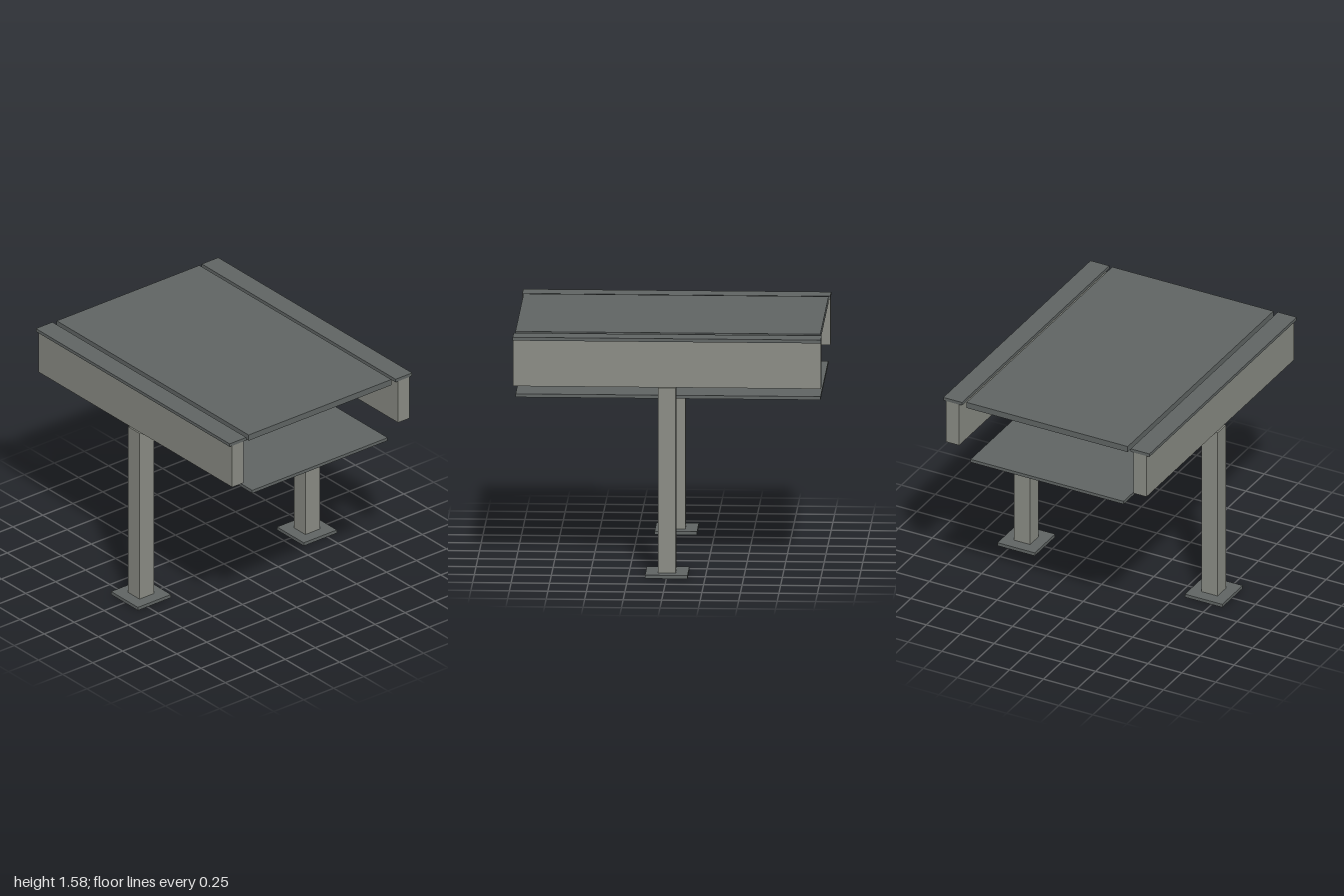
import * as THREE from 'three';

export function createModel() {
  const model = new THREE.Group();
  model.name = 'rollerTable';

  const frameGrey = new THREE.MeshStandardMaterial({ color: 0x8a8c84 });
  frameGrey.name = 'frame grey';
  const plateGrey = new THREE.MeshStandardMaterial({ color: 0x606564 });
  plateGrey.name = 'plate dark grey';

  // Box centred on x and z, spanning y0 to y1
  function slab(name, material, width, y0, y1, depth, x = 0) {
    const mesh = new THREE.Mesh(new THREE.BoxGeometry(width, y1 - y0, depth), material);
    mesh.name = name;
    mesh.position.set(x, (y0 + y1) / 2, 0);
    model.add(mesh);
  }

  // Table top and lower shelf
  slab('tableTop', plateGrey, 1.19, 1.54, 1.582, 1.98);
  slab('lowerShelf', plateGrey, 1.13, 1.14, 1.162, 1.98);

  // Side frames: foot, post, beam and cap rail on each side
  for (const [side, s] of [['left', 1], ['right', -1]]) {
    const x = s * 0.692;
    slab(side + 'Foot', plateGrey, 0.276, 0.001, 0.024, 0.276, x);
    slab(side + 'Post', frameGrey, 0.12, 0, 1.25, 0.116, x);
    slab(side + 'Beam', frameGrey, 0.096, 1.25, 1.556, 2, x);
    slab(side + 'CapRail', plateGrey, 0.138, 1.556, 1.578, 2, x);
  }

  // Two rollers under the table top
  const rollerGeometry = new THREE.CylinderGeometry(0.076, 0.076, 1.14, 32).rotateZ(Math.PI / 2);
  for (const [name, z] of [['frontRoller', 0.5], ['backRoller', -0.5]]) {
    const roller = new THREE.Mesh(rollerGeometry, frameGrey);
    roller.name = name;
    roller.position.set(0, 1.464, z);
    model.add(roller);
  }

  return model;
}
